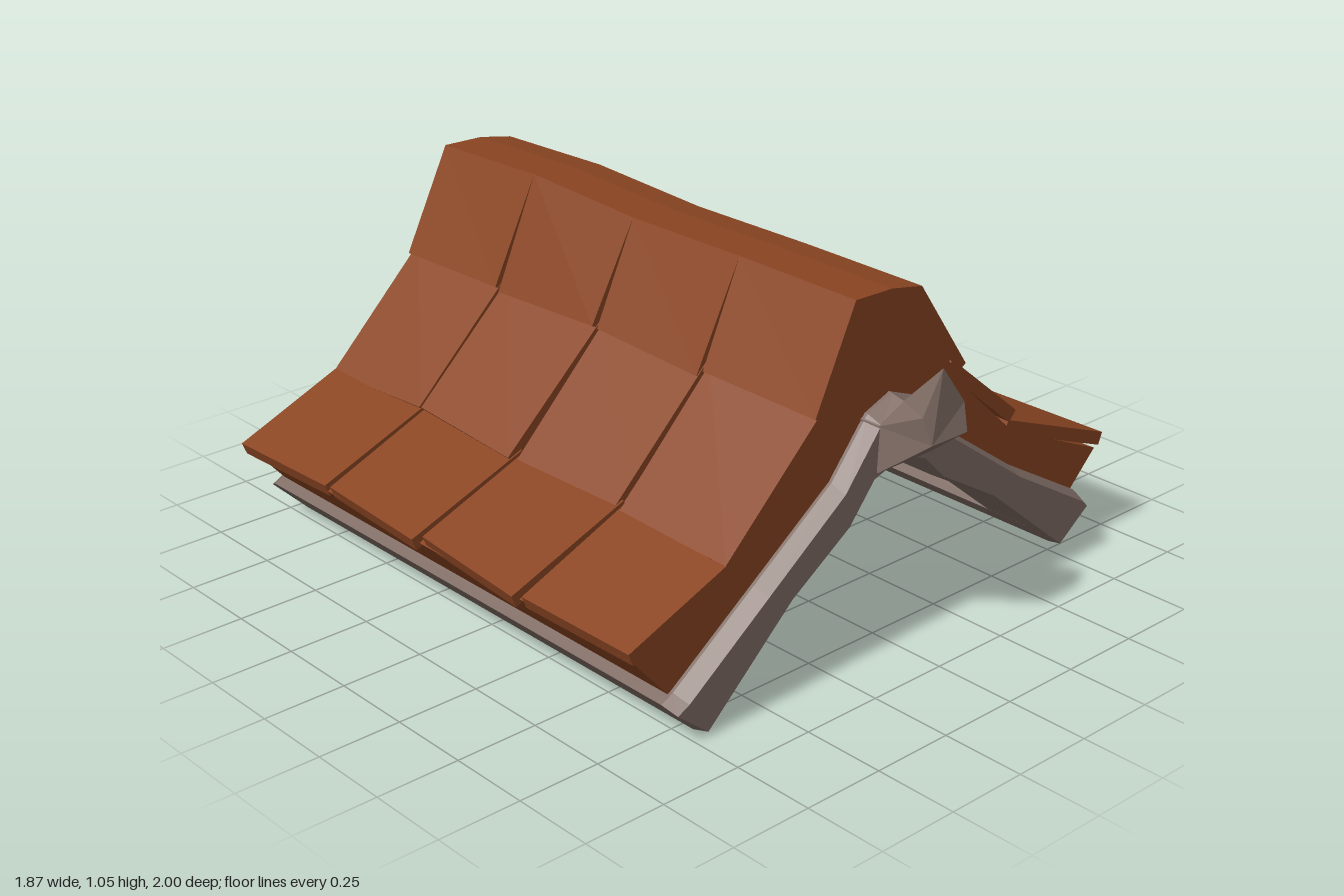
import * as THREE from 'three';

const terracotta = new THREE.MeshStandardMaterial({ color: 0x8a4522 });
terracotta.name = 'terracotta';
const stone = new THREE.MeshStandardMaterial({ color: 0x7f6c64 });
stone.name = 'weathered wood';

// Faceted solid through rings of [x, y, z], ordered from back to front
function loft(name, rings, material) {
  const flat = r => r.map(p => new THREE.Vector2(p[0], p[1]));
  if (THREE.ShapeUtils.area(flat(rings[0])) < 0) rings = rings.map(r => [...r].reverse());
  const pos = [];
  const tri = (a, b, c) => pos.push(...a, ...b, ...c);
  const n = rings[0].length;
  for (let k = 0; k < rings.length - 1; k++) {
    for (let i = 0; i < n; i++) {
      const j = (i + 1) % n, A = rings[k], B = rings[k + 1];
      tri(A[i], A[j], B[j]);
      tri(A[i], B[j], B[i]);
    }
  }
  const back = rings[0], front = rings[rings.length - 1];
  for (const [a, b, c] of THREE.ShapeUtils.triangulateShape(flat(back), [])) tri(back[c], back[b], back[a]);
  for (const [a, b, c] of THREE.ShapeUtils.triangulateShape(flat(front), [])) tri(front[a], front[b], front[c]);
  const g = new THREE.BufferGeometry();
  g.setAttribute('position', new THREE.Float32BufferAttribute(pos, 3));
  g.computeVertexNormals();
  const mesh = new THREE.Mesh(g, material);
  mesh.name = name;
  return mesh;
}

const at = (pts, z) => pts.map(([x, y]) => [x, y, z]);

// Seams between tile columns, and the ridge height at each
const seams = [-0.96, -0.53, -0.09, 0.345, 0.78];
const ridgeLift = [0, 0.012, -0.008, -0.004, -0.006];

// Roof body cross-section: underside, right slope, ridge, left slope
const body = [
  [-0.72, 0.05], [-0.42, 0.3], [-0.21, 0.44], [-0.12, 0.55], [0, 0.585], [0.1, 0.55],
  [0.18, 0.47], [0.4, 0.34], [0.72, 0.1], [0.8, 0.2], [0.9, 0.3], [0.52, 0.47],
  [0.27, 0.7], [0.115, 1.02], [0, 1.042], [-0.135, 1.045], [-0.265, 0.71],
  [-0.56, 0.42], [-0.91, 0.275], [-0.785, 0.13],
];

// Tile rows: inner edge, outer edge, thickness, gap at the inner edge
const rows = [
  ['ridgeTile', [0.115, 1.02], [0.295, 0.745], 0.035, 0],
  ['middleTile', [0.25, 0.765], [0.54, 0.53], 0.04, 0.006],
  ['eaveTile', [0.5, 0.51], [0.925, 0.345], 0.04, 0.006],
  ['ridgeTile', [-0.135, 1.045], [-0.285, 0.74], 0.035, 0],
  ['middleTile', [-0.25, 0.76], [-0.585, 0.435], 0.04, 0.006],
  ['eaveTile', [-0.55, 0.445], [-0.925, 0.295], 0.04, 0.006],
];

// Trim cross-section
const trimLower = [
  [-0.71, 0.004], [-0.41, 0.28], [-0.2, 0.42], [-0.11, 0.53], [0, 0.565],
  [0.09, 0.53], [0.17, 0.45], [0.39, 0.32], [0.7, 0.065],
];
const trimUpper = [
  [0.82, 0.18], [0.8, 0.2], [0.5, 0.375], [0.21, 0.58], [0.09, 0.71], [0, 0.745],
  [-0.09, 0.71], [-0.22, 0.55], [-0.5, 0.345], [-0.78, 0.14], [-0.82, 0.12],
];
const trim = [...trimLower, ...trimUpper];
const trimBevel = [
  ...trimLower.map(([x, y]) => [x * 0.99, y + 0.012]),
  ...trimUpper.map(([x, y]) => [x * 0.985, y - 0.018]),
];

export function createModel() {
  const model = new THREE.Group();
  model.name = 'tiledRoof';
  let seed = 7;
  const jitter = s => {
    seed = (seed * 16807) % 2147483647;
    return (seed / 2147483647 - 0.5) * 2 * s;
  };

  // Solid roof with an uneven ridge
  model.add(loft('roofBody', seams.map((z, i) =>
    body.map(([x, y]) => [x, y + (y > 0.95 ? ridgeLift[i] : 0), z])), terracotta));

  // Overlapping crooked tiles on both slopes
  const tiles = new THREE.Group();
  tiles.name = 'tiles';
  for (const [name, inner, outer, thick, innerGap] of rows) {
    const dx = outer[0] - inner[0], dy = outer[1] - inner[1], len = Math.hypot(dx, dy);
    const s = Math.sign(dx);
    const nx = -s * dy / len, ny = s * dx / len; // outward normal
    for (let c = 0; c < 4; c++) {
      const ends = [[seams[c], 1, c], [seams[c + 1], -1, c + 1]].map(([z, dir, k]) => {
        const ridge = name === 'ridgeTile';
        const edge = k === 0 || k === 4;
        const zi = z + (edge ? 0 : dir * innerGap);
        const zo = z + (edge ? 0 : dir * (0.007 + Math.abs(jitter(0.006))));
        const slide = jitter(0.012), lift = jitter(0.009);
        const top = inner[1] + (ridge ? ridgeLift[k] : 0);
        const ox = outer[0] + dx / len * slide + nx * lift;
        const oy = outer[1] + dy / len * slide + ny * lift;
        return [
          [inner[0], top, zi], [ox, oy, zo],
          [ox - nx * thick, oy - ny * thick, zo],
          [inner[0] - nx * thick, top - ny * thick, zi],
        ];
      });
      tiles.add(loft(name, ends, terracotta));
    }
  }
  model.add(tiles);

  // Gable trims with bevelled outer faces
  model.add(loft('frontGableTrim', [at(trim, 0.64), at(trim, 0.79), at(trimBevel, 0.84)], stone));
  model.add(loft('backGableTrim', [at(trimBevel, -1), at(trim, -0.965), at(trim, -0.8)], stone));

  // Trim along both eaves
  const eaves = {
    leftEaveTrim: [[0.6, 0.147], [0.7, 0.065], [0.82, 0.18], [0.8, 0.2], [0.66, 0.25]],
    rightEaveTrim: [[-0.61, 0.096], [-0.66, 0.2], [-0.78, 0.14], [-0.82, 0.12], [-0.71, 0.004]],
  };
  for (const [name, pts] of Object.entries(eaves)) {
    model.add(loft(name, [at(pts, -0.96), at(pts, 0.785)], stone));
  }

  // Upturned finial at the front of the ridge
  model.add(loft('ridgeFinial', [
    [[-0.11, 0.535, 0.76], [0.11, 0.535, 0.76], [0.11, 0.7, 0.76], [0, 0.75, 0.76], [-0.11, 0.7, 0.76]],
    [[-0.1, 0.56, 0.845], [0.1, 0.56, 0.845], [0.095, 0.69, 0.835], [0, 0.735, 0.835], [-0.095, 0.69, 0.835]],
    [[-0.068, 0.68, 1], [0.068, 0.68, 1], [0.08, 0.755, 0.975], [0, 0.87, 0.968], [-0.08, 0.755, 0.975]],
  ], stone));

  return model;
}
